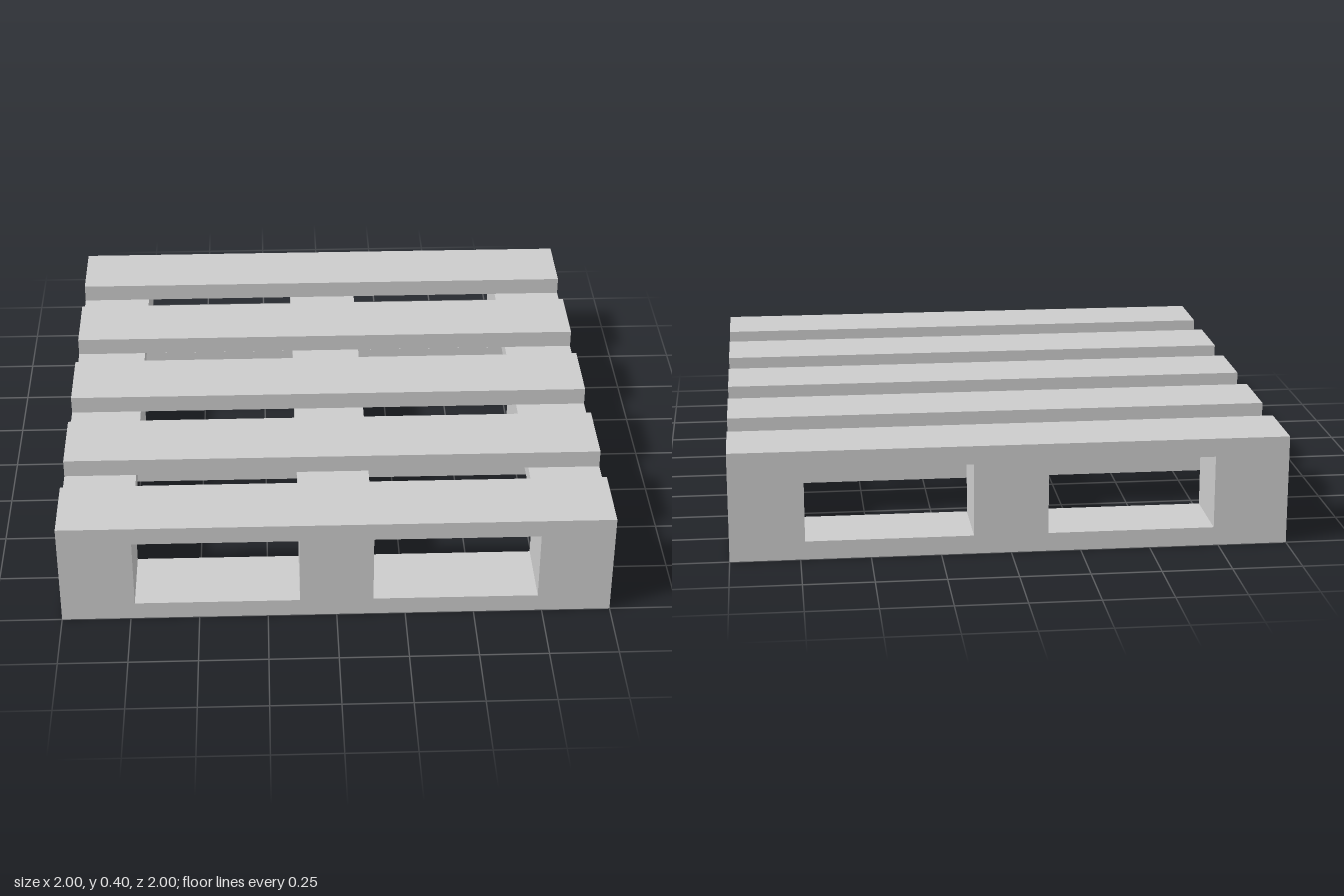
import * as THREE from 'three';

const BOARD = 0.267;   // board width
const THICK = 0.067;   // board thickness
const HEIGHT = 0.4;
const OFFSET = 1 - BOARD / 2;        // centre of the outer boards
const GAP = OFFSET - BOARD;          // clear span between runners or blocks

export function createModel() {
  const model = new THREE.Group();
  model.name = 'pallet';
  const material = new THREE.MeshStandardMaterial({ color: 0xcccccc, flatShading: true });

  const add = (name, geometry, x, y, z) => {
    const mesh = new THREE.Mesh(geometry, material);
    mesh.name = name;
    mesh.position.set(x, y, z);
    model.add(mesh);
  };

  const rectangle = (path, x0, y0, x1, y1) =>
    path.moveTo(x0, y0).lineTo(x1, y0).lineTo(x1, y1).lineTo(x0, y1).closePath();

  // Runner: top slat, three blocks and bottom board around two fork openings
  const profile = rectangle(new THREE.Shape(), -1, 0, 1, HEIGHT);
  for (const side of [-1, 1]) {
    const centre = side * OFFSET / 2;
    profile.holes.push(rectangle(new THREE.Path(),
      centre - GAP / 2, THICK, centre + GAP / 2, HEIGHT - THICK));
  }
  const runner = new THREE.ExtrudeGeometry(profile, { depth: BOARD, bevelEnabled: false });
  runner.translate(0, 0, -BOARD / 2);
  ['backRunner', 'middleRunner', 'frontRunner'].forEach((name, i) =>
    add(name, runner, 0, 0, (i - 1) * OFFSET));

  // Cross boards joining the runners, with one deck slat on each row
  const slat = new THREE.BoxGeometry(2, THICK, BOARD);
  const stringer = new THREE.BoxGeometry(BOARD, THICK, GAP);
  for (const [end, sign] of [['back', -1], ['front', 1]]) {
    const z = sign * OFFSET / 2;
    add(end + 'DeckSlat', slat, 0, HEIGHT - THICK / 2, z);
    ['Right', 'Middle', 'Left'].forEach((side, i) =>
      add(end + side + 'Stringer', stringer, (i - 1) * OFFSET, HEIGHT - THICK * 1.5, z));
  }

  return model;
}
